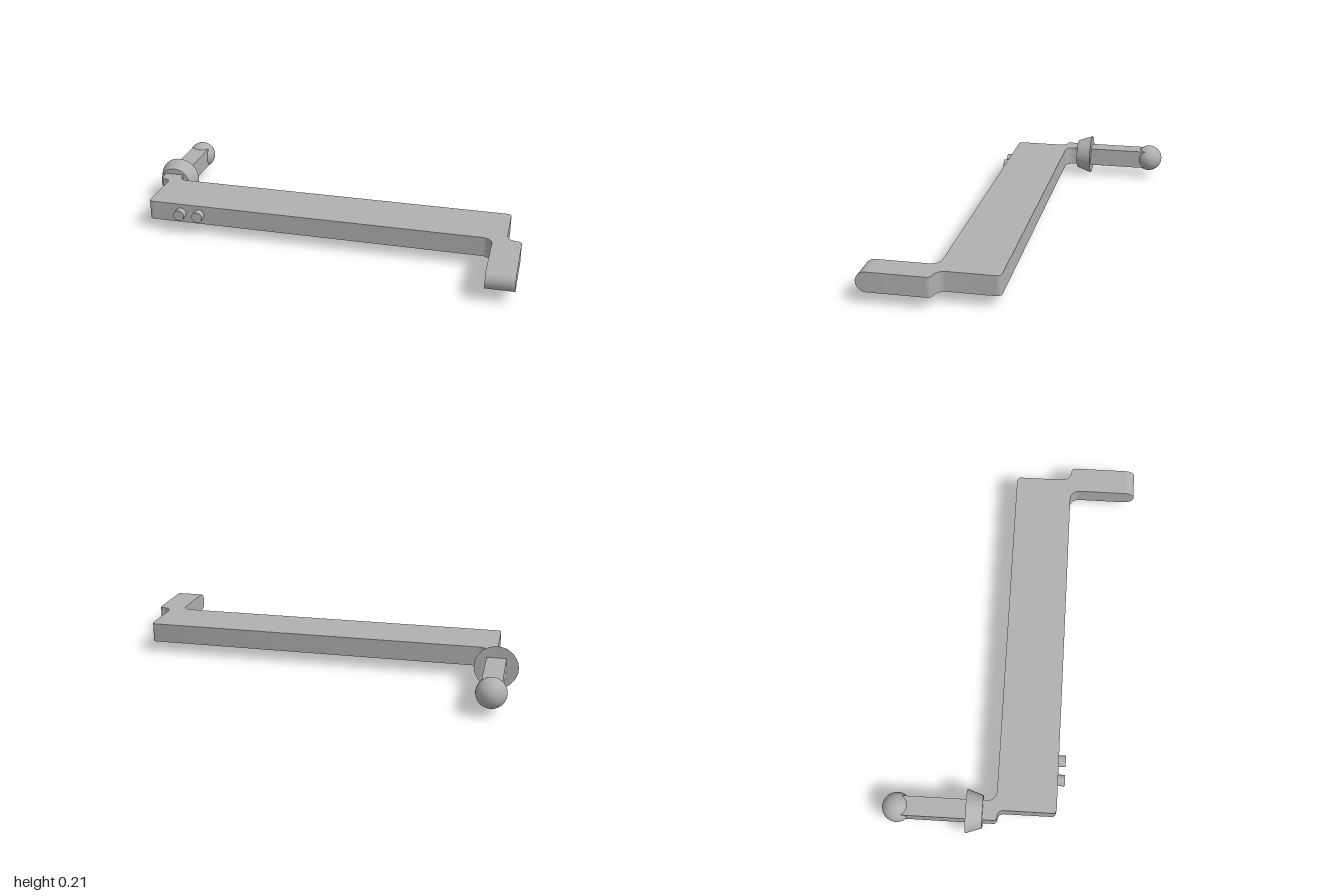
import * as THREE from 'three';
import { toCreasedNormals } from 'three/addons/utils/BufferGeometryUtils.js';

const MID_Y = 0.11, THICK = 0.098;

// Outline from [x, z, radius] right-angle corners, each rounded by an arc
function roundedOutline(corners) {
  const points = [];
  corners.forEach(([x, z, r], i) => {
    const at = ([px, pz]) => new THREE.Vector2(px, -pz);
    const c = at([x, z]);
    if (!r) return points.push(c);
    const n = corners.length;
    const toPrev = at(corners[(i + n - 1) % n]).sub(c).normalize();
    const toNext = at(corners[(i + 1) % n]).sub(c).normalize();
    const centre = c.clone().addScaledVector(toPrev, r).addScaledVector(toNext, r);
    for (let k = 0; k <= 10; k++) {
      const t = (k / 10) * Math.PI / 2;
      points.push(centre.clone()
        .addScaledVector(toNext, -r * Math.cos(t))
        .addScaledVector(toPrev, -r * Math.sin(t)));
    }
  });
  return new THREE.Shape(points);
}

export function createModel() {
  const model = new THREE.Group();
  model.name = 'crankBar';
  const metal = new THREE.MeshStandardMaterial({ color: 0xb0b0b0 });
  metal.name = 'grey metal';

  const add = (name, geometry, x, z) => {
    const mesh = new THREE.Mesh(geometry, metal);
    mesh.name = name;
    mesh.position.set(x, MID_Y, z);
    model.add(mesh);
    return mesh;
  };

  // Flat bar with a back peg and a front arm, joined by fillets
  const outline = roundedOutline([
    [-0.89, 0.25, 0.02],
    [0.86, 0.25, 0.05],
    [0.86, 0.546, 0],
    [0.997, 0.546, 0],
    [0.997, 0.25, 0.022],
    [0.925, 0.25, 0.048],
    [0.925, -0.042, 0.022],
    [-0.845, -0.042, 0.048],
    [-0.845, -0.525, 0],
    [-0.94, -0.525, 0],
    [-0.94, -0.035, 0.018],
    [-0.89, -0.035, 0.031],
  ]);
  const bar = new THREE.ExtrudeGeometry(outline, { depth: THICK, bevelEnabled: false });
  bar.translate(0, 0, -THICK / 2).rotateX(-Math.PI / 2);
  add('bar', toCreasedNormals(bar, 0.6), 0, 0);

  // Half-round nose on the front arm
  const nose = new THREE.CylinderGeometry(THICK / 2, THICK / 2, 0.137, 32, 1, false, 0, Math.PI);
  nose.rotateY(-Math.PI / 2).rotateZ(Math.PI / 2);
  add('armNose', nose, 0.9285, 0.546);

  // Ball tip and tapered collar on the back peg
  add('ballTip', new THREE.SphereGeometry(0.072, 40, 24), -0.893, -0.525);
  const collar = new THREE.CylinderGeometry(0.079, 0.107, 0.08, 48);
  collar.rotateX(Math.PI / 2);
  add('collar', collar, -0.893, -0.146);

  // Two small pins on the front edge
  for (const x of [-0.717, -0.62]) {
    const pin = new THREE.CylinderGeometry(0.028, 0.028, 0.045, 28);
    pin.rotateX(Math.PI / 2);
    add('pin', pin, x, 0.2625);
  }

  return model;
}
